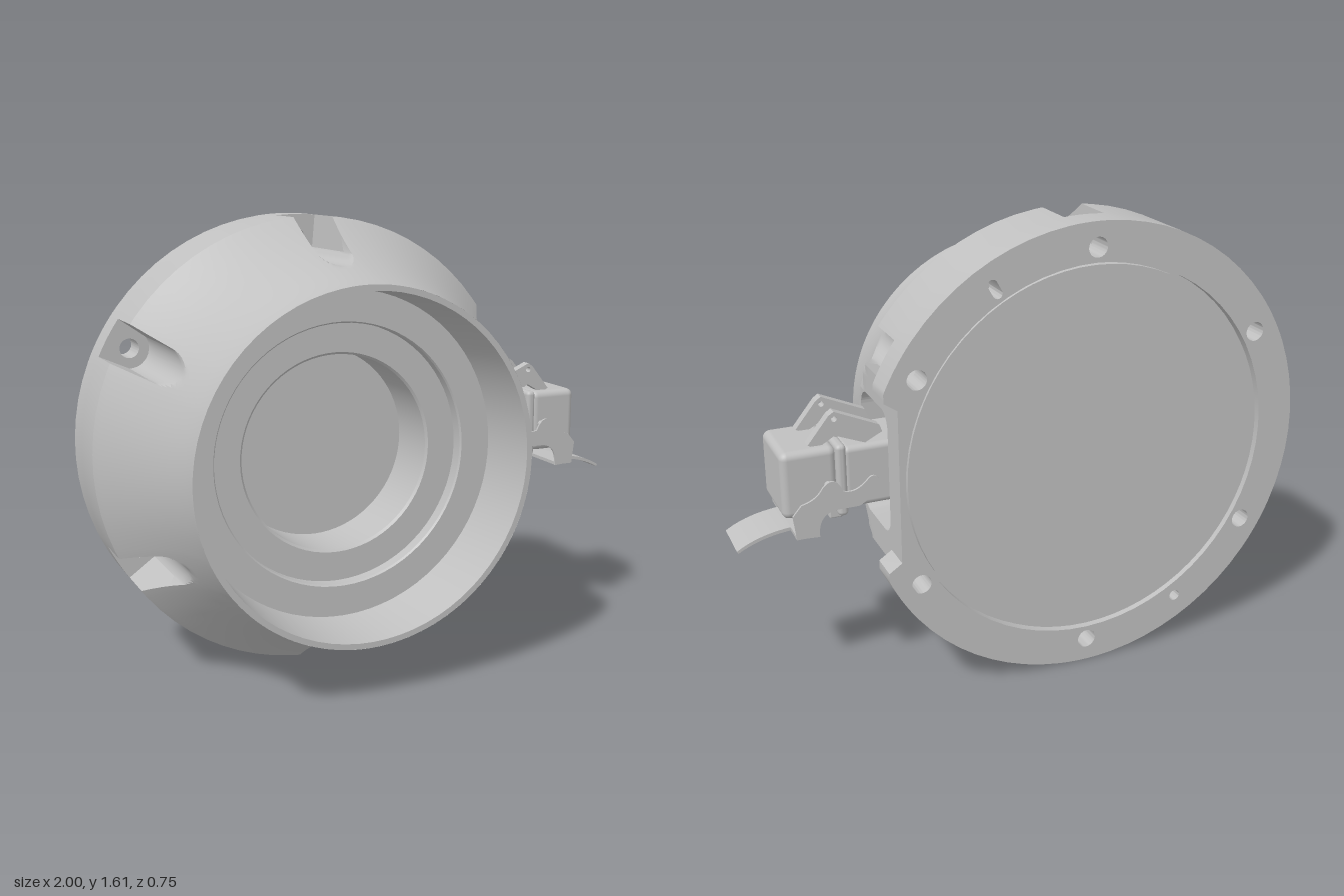
import * as THREE from 'three';
import { toCreasedNormals } from 'three/addons/utils/BufferGeometryUtils.js';
import { RoundedBoxGeometry } from 'three/addons/geometries/RoundedBoxGeometry.js';

const AX = -0.195, AY = 0.808;           // axis of the round housing (runs along z)
const BACK = -0.375, STEP = -0.27, FRONT = 0.375;
const R = 0.805, FLAT = 0.69, BOLT_R = 0.72, SLOT = 0.07;
const WIN_Y = 0.22, WIN_Z = 0.01, WIN_A = Math.atan(WIN_Y / FLAT);

const grey = new THREE.MeshStandardMaterial({ color: 0xc0c0c0, side: THREE.DoubleSide });
grey.name = 'grey metal';

function add(parent, name, geometry, x = 0, y = 0, z = 0) {
  const m = new THREE.Mesh(geometry, grey);
  m.name = name;
  m.position.set(x, y, z);
  parent.add(m);
  return m;
}
const shapeOf = pts => new THREE.Shape(pts.map(p => new THREE.Vector2(p[0], p[1])));
const extrude = (shape, z0, z1, curveSegments = 16) =>
  new THREE.ExtrudeGeometry(shape, { depth: z1 - z0, bevelEnabled: false, curveSegments }).translate(0, 0, z0);

function roundRect(target, w, h, r) {
  target.absarc(w - r, h - r, r, 0, Math.PI / 2);
  target.absarc(-w + r, h - r, r, Math.PI / 2, Math.PI);
  target.absarc(-w + r, -h + r, r, Math.PI, Math.PI * 1.5);
  target.absarc(w - r, -h + r, r, Math.PI * 1.5, Math.PI * 2);
  target.closePath();
  return target;
}

const boltAngles = [0, 1, 2, 3, 4, 5].map(k => Math.PI / 6 + k * Math.PI / 3);
const angleGap = (a, b) => Math.abs(Math.atan2(Math.sin(a - b), Math.cos(a - b)));

// Angles of the cross-sections, denser around the bolt slots
function sectionAngles() {
  const list = [-WIN_A, WIN_A, -0.37, 0.37, -0.385, 0.385];
  for (let i = 0; i < 72; i++) {
    const a = -Math.PI + (i + 0.5) * Math.PI / 36;
    if (boltAngles.every(b => angleGap(a, b) > 0.11)) list.push(a);
  }
  for (const b of boltAngles)
    for (const d of [0, 0.02, 0.04, 0.06, 0.075, 0.084, 0.0895, 0.0905, 0.105])
      for (const s of d ? [-1, 1] : [1]) list.push(Math.atan2(Math.sin(b + s * d), Math.cos(b + s * d)));
  return list.sort((p, q) => p - q);
}

const flatLimit = (a, d) => (Math.abs(a) < 1.2 ? d / Math.cos(a) : 9);

function flangeRadius(a) {
  return Math.min(R, flatLimit(a, Math.abs(a) < 0.375 ? FLAT : 0.735));
}

// Flared shell radius, cut by the side flat and the six U-shaped slots
function shellRadius(a, z) {
  const t = Math.max(0, (z + 0.11) / 0.485);
  let r = Math.min(0.61 + 0.195 * Math.pow(1 - t, 1.85), flatLimit(a, FLAT));
  for (const b of boltAngles) {
    const d = angleGap(a, b);
    if (d > 0.09) continue;
    const v = BOLT_R * Math.sin(d);
    r = Math.min(r, BOLT_R * Math.cos(d) - Math.sqrt(SLOT * SLOT - v * v));
  }
  return r;
}

function shellGeometry(angles) {
  const zs = [STEP, -0.19, -0.11, -0.09, -0.06, -0.025, WIN_Z];
  for (let i = 1; i <= 20; i++) zs.push(WIN_Z + (FRONT - WIN_Z) * i / 20);
  const n = angles.length, pos = [], idx = [];
  for (const z of zs)
    for (const a of angles) {
      const r = shellRadius(a, z);
      pos.push(r * Math.cos(a), r * Math.sin(a), z);
    }
  for (let j = 0; j < zs.length - 1; j++)
    for (let i = 0; i < n; i++) {
      const k = (i + 1) % n;
      // leave the connector window open
      const inWindow = zs[j + 1] <= WIN_Z && k > 0 && angles[i] >= -WIN_A && angles[k] <= WIN_A;
      if (inWindow) continue;
      const a = j * n + i, b = j * n + k, c = b + n, d = a + n;
      idx.push(a, b, c, a, c, d);
    }
  const g = new THREE.BufferGeometry();
  g.setAttribute('position', new THREE.Float32BufferAttribute(pos, 3));
  g.setIndex(idx);
  return toCreasedNormals(g, 0.45);
}

function buildHousing() {
  const g = new THREE.Group();
  g.name = 'housing';
  g.position.set(AX, AY, 0);
  const angles = sectionAngles();
  add(g, 'flaredShell', shellGeometry(angles));

  // Mounting flange with bolt holes, a locating slot and a locating hole
  const flange = shapeOf(angles.map(a => [flangeRadius(a) * Math.cos(a), flangeRadius(a) * Math.sin(a)]));
  const hole = (r, a, rad) => {
    const p = new THREE.Path();
    p.absarc(r * Math.cos(a), r * Math.sin(a), rad, 0, Math.PI * 2, true);
    flange.holes.push(p);
  };
  hole(0, 0, 0.67);
  for (const b of boltAngles) hole(BOLT_R, b, 0.034);
  hole(BOLT_R, Math.PI * 4 / 3, 0.02);
  const slot = new THREE.Path(), sa = Math.PI / 3;
  slot.absarc(0.735 * Math.cos(sa), 0.735 * Math.sin(sa), 0.017, sa - Math.PI / 2, sa + Math.PI / 2);
  slot.absarc(0.7 * Math.cos(sa), 0.7 * Math.sin(sa), 0.017, sa + Math.PI / 2, sa + Math.PI * 1.5);
  slot.closePath();
  flange.holes.push(slot);
  add(g, 'mountingFlange', toCreasedNormals(extrude(flange, BACK, STEP, 32), 0.45));

  // Rear cover sits slightly below the flange face, on a disc that closes the bore
  const disc = (name, r, z0, z1) =>
    add(g, name, new THREE.CylinderGeometry(r, r, z1 - z0, 72), 0, 0, (z0 + z1) / 2).rotation.x = Math.PI / 2;
  disc('rearCover', 0.66, -0.365, -0.335);
  disc('boreFloor', 0.675, -0.34, STEP);

  // Stepped front cavity
  const profile = [[0.61, FRONT], [0.59, FRONT], [0.575, 0.135], [0.465, 0.135], [0.46, 0.128], [0.46, 0.085],
    [0.355, 0.085], [0.347, 0.077], [0.347, -0.13], [0, -0.13]].map(p => new THREE.Vector2(p[0], p[1]));
  add(g, 'frontCavity', toCreasedNormals(new THREE.LatheGeometry(profile, 72), 0.45)).rotation.x = Math.PI / 2;

  // Rounded connector pocket in the side flat
  const hw = (WIN_Z - STEP) / 2;
  const frame = shapeOf([[-hw, -WIN_Y], [hw, -WIN_Y], [hw, WIN_Y], [-hw, WIN_Y]]);
  frame.holes.push(roundRect(new THREE.Path(), hw - 0.002, WIN_Y - 0.002, 0.06));
  const pocket = add(g, 'connectorPocket', toCreasedNormals(extrude(frame, -0.15, 0), 0.5), FLAT, 0, (WIN_Z + STEP) / 2);
  pocket.rotation.y = Math.PI / 2;
  add(g, 'pocketFloor', new THREE.BoxGeometry(0.01, WIN_Y * 2, hw * 2), FLAT - 0.15, 0, (WIN_Z + STEP) / 2);
  return g;
}

function buildConnector() {
  const g = new THREE.Group();
  g.name = 'connector';
  g.position.z = -0.14;
  const block = (name, x0, x1, y0, y1, w, r = 0.02) =>
    add(g, name, new RoundedBoxGeometry(x1 - x0, y1 - y0, w, 3, r), (x0 + x1) / 2, (y0 + y1) / 2, 0);
  block('socketBase', 0.35, 0.64, 0.71, 0.925, 0.22);
  block('socketCollar', 0.635, 0.67, 0.695, 0.945, 0.265, 0.015);
  block('plugHood', 0.665, 0.85, 0.71, 0.94, 0.245, 0.025);
  block('lowerClip', 0.645, 0.69, 0.675, 0.72, 0.18, 0.005);

  // Hinge ears and pin on top
  const ear = shapeOf([[0.50, 0.955], [0.51, 0.98], [0.645, 1.04], [0.66, 1.047], [0.678, 1.035],
    [0.75, 0.945], [0.72, 0.93], [0.66, 0.965], [0.56, 0.925]]);
  const eye = new THREE.Path();
  eye.absarc(0.66, 1.022, 0.01, 0, Math.PI * 2, true);
  ear.holes.push(eye);
  for (const s of [-1, 1]) add(g, 'hingeEar', extrude(ear, s * 0.073 - 0.017, s * 0.073 + 0.017));
  const pin = add(g, 'hingePin', new THREE.CylinderGeometry(0.012, 0.012, 0.15, 16), 0.65, 0.965, 0);
  pin.rotation.x = Math.PI / 2;
  const screw = add(g, 'topScrew', new THREE.CylinderGeometry(0.016, 0.016, 0.03, 16), 0.65, 0.962, 0);
  screw.rotation.z = Math.PI / 2;

  // Locking lever: two side plates, pivots, cross bar and finger tab
  const plate = new THREE.Shape();
  plate.moveTo(0.54, 0.825);
  plate.quadraticCurveTo(0.56, 0.85, 0.58, 0.825);
  plate.quadraticCurveTo(0.62, 0.785, 0.66, 0.80);
  plate.quadraticCurveTo(0.69, 0.87, 0.73, 0.82);
  plate.quadraticCurveTo(0.75, 0.785, 0.80, 0.775);
  plate.lineTo(0.83, 0.74);
  plate.lineTo(0.82, 0.66);
  plate.lineTo(0.745, 0.655);
  plate.quadraticCurveTo(0.75, 0.73, 0.69, 0.74);
  plate.lineTo(0.61, 0.74);
  plate.quadraticCurveTo(0.56, 0.76, 0.54, 0.825);
  for (const s of [-1, 1]) {
    add(g, 'leverPlate', extrude(plate, s * 0.16 - 0.004, s * 0.16 + 0.004));
    const pivot = add(g, 'leverPivot', new THREE.CylinderGeometry(0.012, 0.012, 0.05, 16), 0.7, 0.815, s * 0.137);
    pivot.rotation.x = Math.PI / 2;
  }
  add(g, 'leverBar', new THREE.BoxGeometry(0.075, 0.012, 0.32), 0.783, 0.662, 0);

  const tab = new THREE.Shape();
  tab.moveTo(0.745, 0.668);
  tab.lineTo(0.82, 0.668);
  tab.quadraticCurveTo(0.93, 0.66, 1.0, 0.615);
  tab.lineTo(0.995, 0.607);
  tab.quadraticCurveTo(0.92, 0.65, 0.82, 0.656);
  tab.lineTo(0.745, 0.656);
  add(g, 'fingerTab', toCreasedNormals(extrude(tab, -0.083, 0.083), 0.5));
  return g;
}

export function createModel() {
  const model = new THREE.Group();
  model.name = 'lampHousingWithConnector';
  model.add(buildHousing(), buildConnector());
  return model;
}
